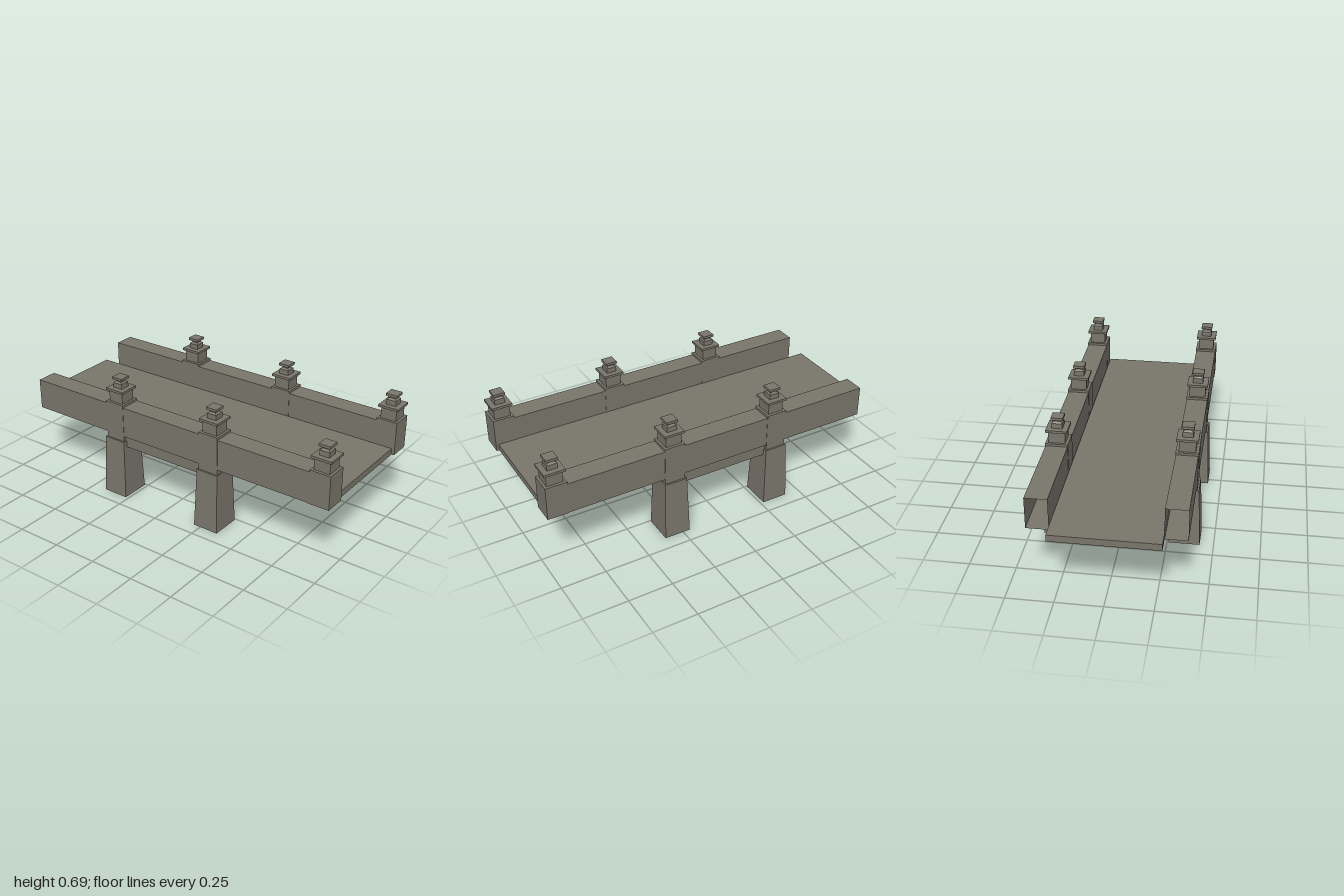
import * as THREE from 'three';

export function createModel() {
  const model = new THREE.Group();
  model.name = 'bridge';
  const stone = new THREE.MeshStandardMaterial({ color: 0x79756b, side: THREE.DoubleSide, flatShading: true });
  stone.name = 'grey stone';

  const add = (parent, name, geometry) => {
    const mesh = new THREE.Mesh(geometry, stone);
    mesh.name = name;
    parent.add(mesh);
    return mesh;
  };

  // Box given by its limits on each axis
  const block = (x0, x1, y0, y1, z0, z1) =>
    new THREE.BoxGeometry(x1 - x0, y1 - y0, z1 - z0)
      .translate((x0 + x1) / 2, (y0 + y1) / 2, (z0 + z1) / 2);

  // Upright block, bottom size w by d, whose top is narrowed by kx and kz
  const tapered = (w, d, y0, y1, kx = 1, kz = kx) => {
    const g = block(-w / 2, w / 2, y0, y1, -d / 2, d / 2);
    const p = g.attributes.position;
    for (let i = 0; i < p.count; i++) {
      if (p.getY(i) > (y0 + y1) / 2) {
        p.setX(i, p.getX(i) * kx);
        p.setZ(i, p.getZ(i) * kz);
      }
    }
    g.computeVertexNormals();
    return g;
  };

  // Post with its stepped finial, standing on the wall line
  const makePost = (x, z, bottom) => {
    const post = new THREE.Group();
    post.name = 'post';
    post.position.set(x, 0, z);
    add(post, 'postBase', tapered(0.12, 0.117, bottom, 0.553));
    add(post, 'postNeck', tapered(0.089, 0.089, 0.553, 0.617));
    add(post, 'postSlab', tapered(0.115, 0.115, 0.617, 0.63));
    add(post, 'finialBase', tapered(0.056, 0.056, 0.63, 0.658));
    add(post, 'finialSlope', tapered(0.056, 0.056, 0.658, 0.667, 0.6));
    add(post, 'finialNeck', tapered(0.034, 0.034, 0.667, 0.678));
    add(post, 'finialCap', tapered(0.064, 0.064, 0.678, 0.692));
    model.add(post);
  };

  // Deck
  add(model, 'deck', block(-0.285, 0.275, 0.366, 0.403, -1, 0.985));

  for (const side of [-1, 1]) {
    const x = side < 0 ? -0.342 : 0.339;

    // Hollow parapet, open at its back end
    const wall = block(x - 0.058, x + 0.058, 0.367, 0.54, -0.905, 0.997);
    wall.setIndex(Array.from(wall.index.array).slice(0, 30));
    wall.clearGroups();
    add(model, 'parapet', wall);

    makePost(x, 0.941, 0.366);
    for (const z of [0.283, -0.342]) {
      makePost(x, z, 0.33);
      add(model, 'pier', tapered(0.167, 0.148, 0, 0.337, 0.83, 0.87)).position.set(x, 0, z);
    }

    // Beam joining the two piers
    add(model, 'beam', block(x - 0.045, x + 0.045, 0.3, 0.367, -0.3, 0.24));
  }
  return model;
}
